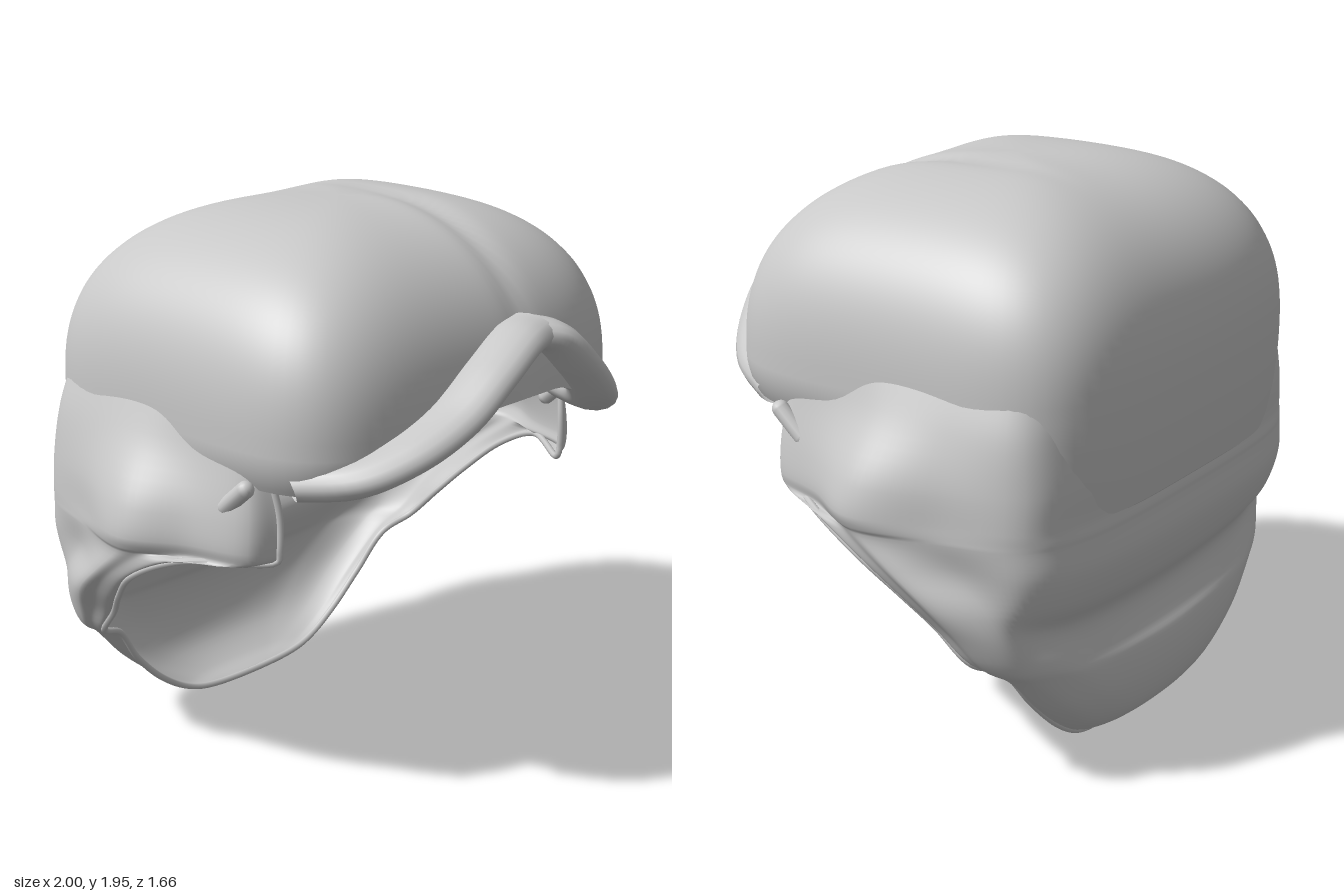
import * as THREE from 'three';
import { mergeVertices } from 'three/addons/utils/BufferGeometryUtils.js';

const V = (x, y, z) => new THREE.Vector3(x, y, z);
const { lerp, smoothstep } = THREE.MathUtils;

// Smooth surface through a grid of points (rows of equal length)
function loft(rows) {
  const pos = [], idx = [], n = rows[0].length;
  rows.forEach(r => r.forEach(p => pos.push(p.x, p.y, p.z)));
  for (let i = 0; i < rows.length - 1; i++) {
    for (let j = 0; j < n - 1; j++) {
      const a = i * n + j, b = a + 1, c = a + n, d = c + 1;
      idx.push(a, b, c, b, d, c);
    }
  }
  let g = new THREE.BufferGeometry();
  g.setAttribute('position', new THREE.Float32BufferAttribute(pos, 3));
  g.setIndex(idx);
  g = mergeVertices(g, 1e-4);
  g.computeVertexNormals();
  return g;
}

// Rounded-square plan of the cap at angle a and relative size r
const CX = 0.82, CZ = 0.745, ZC = -0.085, BASE = 1.3, SQUARE = 4.4;
function plan(a, r) {
  const c = Math.cos(a), s = Math.sin(a);
  const k = r / Math.pow(Math.abs(c) ** SQUARE + Math.abs(s) ** SQUARE, 1 / SQUARE);
  return [CX * c * k, ZC + CZ * s * k];
}

// Lower edge of the cap: low at the back, raised over the forehead
function rimY(x, z) {
  const back = 0.95 + 0.22 * smoothstep(z, -0.8, 0.25);
  const brow = smoothstep(z, 0.45, 0.62) * (1 - smoothstep(Math.abs(x), 0.3, 0.68));
  return back + 0.17 * brow;
}

// Inside of the cap: level ceiling and a steep back
const ceilingY = z => Math.min(1.34, 0.9 + (z + 0.755) * 2.3);

const ring = (fn, n = 128) => Array.from({ length: n + 1 }, (_, j) => fn((j / n) * Math.PI * 2));

function capGeometry() {
  const rows = [];
  for (let i = 0; i <= 36; i++) {
    const r = Math.sin((i / 36) * Math.PI / 2) ** 0.74;
    rows.push(ring(a => {
      const [x, z] = plan(a, r);
      const n = lerp(2.35, 2.75, Math.cos(a) ** 2);
      const h = Math.max(0, 1 - r ** n) ** (1 / n);
      // shallow parting groove
      const groove = 0.02 * Math.exp(-(((x - 0.17) / 0.05) ** 2)) * smoothstep(z, -0.5, 0.3);
      return V(x, Math.max(BASE + 0.645 * h - groove, rimY(x, z)), z);
    }));
  }
  for (let i = 1; i <= 8; i++) {
    rows.push(ring(a => {
      const [x, z] = plan(a, 1 - 0.04 * (i / 8) ** 2);
      const rim = rimY(x, z);
      return V(x, Math.max(rim, lerp(BASE, rim, i / 8)), z);
    }));
  }
  return loft(rows);
}

function undersideGeometry() {
  const rows = [];
  for (let i = 0; i <= 30; i++) {
    rows.push(ring(a => {
      const [x, z] = plan(a, 0.9 * (1 - i / 30));
      return V(x, ceilingY(z), z);
    }));
  }
  return loft(rows);
}

// Narrow lip between the outer edge and the inside
function rimGeometry() {
  return loft([
    ring(a => { const [x, z] = plan(a, 0.96); return V(x, rimY(x, z), z); }),
    ring(a => { const [x, z] = plan(a, 0.9); return V(x, ceilingY(z), z); }),
  ]);
}

// Neck wrap: y, then x and z of the front edge, widest point, fold and back corner, then the back z
const WRAP = [
  [1.40, 0.74, 0.30, 0.80, -0.12, 0.79, -0.40, 0.74, -0.63, -0.76],
  [1.25, 0.74, 0.33, 0.87, -0.15, 0.85, -0.40, 0.79, -0.65, -0.77],
  [1.08, 0.72, 0.36, 0.97, -0.12, 0.90, -0.40, 0.81, -0.67, -0.79],
  [0.96, 0.72, 0.36, 1.00, -0.11, 0.91, -0.40, 0.82, -0.67, -0.79],
  [0.92, 0.72, 0.35, 0.99, -0.12, 0.91, -0.41, 0.82, -0.67, -0.80],
  [0.90, 0.91, 0.08, 0.98, -0.14, 0.91, -0.41, 0.82, -0.67, -0.80],
  [0.80, 0.94, -0.12, 0.97, -0.26, 0.88, -0.46, 0.82, -0.67, -0.81],
  [0.68, 0.89, -0.25, 0.94, -0.40, 0.86, -0.56, 0.79, -0.66, -0.77],
  [0.58, 0.84, -0.34, 0.89, -0.47, 0.83, -0.60, 0.72, -0.65, -0.70],
  [0.46, 0.80, -0.45, 0.82, -0.53, 0.78, -0.62, 0.66, -0.69, -0.73],
  [0.40, 0.69, -0.50, 0.74, -0.56, 0.71, -0.64, 0.58, -0.71, -0.755],
  [0.25, 0.58, -0.54, 0.60, -0.60, 0.55, -0.67, 0.43, -0.72, -0.76],
  [0.12, 0.45, -0.555, 0.44, -0.60, 0.39, -0.65, 0.29, -0.69, -0.72],
  [0.04, 0.32, -0.555, 0.29, -0.585, 0.24, -0.605, 0.18, -0.62, -0.63],
  [0.012, 0.20, -0.55, 0.17, -0.555, 0.14, -0.558, 0.10, -0.56, -0.56],
];

function wrapRows() {
  const rows = WRAP.map(([y, xf, zf, xm, zm, xk, zk, xc, zc, zb]) => {
    const xa = xf + Math.max(0, (xm - xf) * 0.35);
    const half = [
      [xf, zf], [xa, lerp(zf, zm, 0.1)], [lerp(xa, xm, 0.42), lerp(zf, zm, 0.55)],
      [xm, zm], [xk, zk], [xc, zc],
      [xc * lerp(0.6, 0.8, smoothstep(y, 0.4, 0.7)), lerp(zb, zc, 0.3)],
    ];
    // the crease across the nape sags towards the middle
    const sag = 0.05 * Math.exp(-(((y - 0.56) / 0.2) ** 2));
    const point = (x, z) => V(x, y - sag * Math.max(0, 1 - (x / 0.72) ** 2) * smoothstep(-z, -zf, -zb), z);
    const pts = half.map(([x, z]) => point(-x, z));
    pts.push(point(0, zb));
    half.reverse().forEach(([x, z]) => pts.push(point(x, z)));
    return new THREE.CatmullRomCurve3(pts).getPoints(112);
  });
  // smooth down every column
  const cols = rows[0].map((_, j) => new THREE.CatmullRomCurve3(rows.map(r => r[j])).getPoints(70));
  return cols[0].map((_, i) => cols.map(c => c[i]));
}

// Flattened roll of the fringe
function rollGeometry(points) {
  const DEPTH = 1.9;
  const curve = new THREE.CatmullRomCurve3(points.map(([x, y, z]) => V(x, y, z / DEPTH)));
  return new THREE.TubeGeometry(curve, 48, 0.056, 16).scale(1, 1, DEPTH);
}

export function createModel() {
  const model = new THREE.Group();
  const grey = new THREE.MeshStandardMaterial({ color: 0xc8c8c8, side: THREE.DoubleSide });
  grey.name = 'light grey';
  const add = (name, geometry) => {
    const mesh = new THREE.Mesh(geometry, grey);
    mesh.name = name;
    model.add(mesh);
    return mesh;
  };

  add('cap', capGeometry());
  add('capRim', rimGeometry());
  add('capUnderside', undersideGeometry());

  // Fringe meeting at an off-centre peak
  add('fringeRight', rollGeometry([
    [0.17, 1.57, 0.64], [0.05, 1.56, 0.68], [-0.12, 1.49, 0.715], [-0.3, 1.38, 0.715],
    [-0.5, 1.29, 0.67], [-0.64, 1.23, 0.57], [-0.72, 1.2, 0.4],
  ]));
  add('fringeLeft', rollGeometry([
    [0.14, 1.57, 0.63], [0.22, 1.55, 0.68], [0.35, 1.43, 0.705], [0.48, 1.31, 0.67],
    [0.61, 1.23, 0.56], [0.72, 1.2, 0.38],
  ]));

  // Neck wrap with a rounded hem along its open edge
  const rows = wrapRows(), last = rows[0].length - 1;
  add('neckWrap', loft(rows));
  const edge = j => rows.filter((_, i) => i % 5 === 0).map(r => r[j]);
  const hem = new THREE.CatmullRomCurve3([...edge(0), ...edge(last).reverse()]);
  add('hem', new THREE.TubeGeometry(hem, 300, 0.012, 8));

  // Small knot below each end of the fringe
  for (const side of [-1, 1]) {
    const knot = add('knot', new THREE.CapsuleGeometry(0.03, 0.12, 6, 12));
    knot.position.set(side * 0.815, 1.14, 0.26);
    knot.rotation.x = 0.85;
  }
  return model;
}
